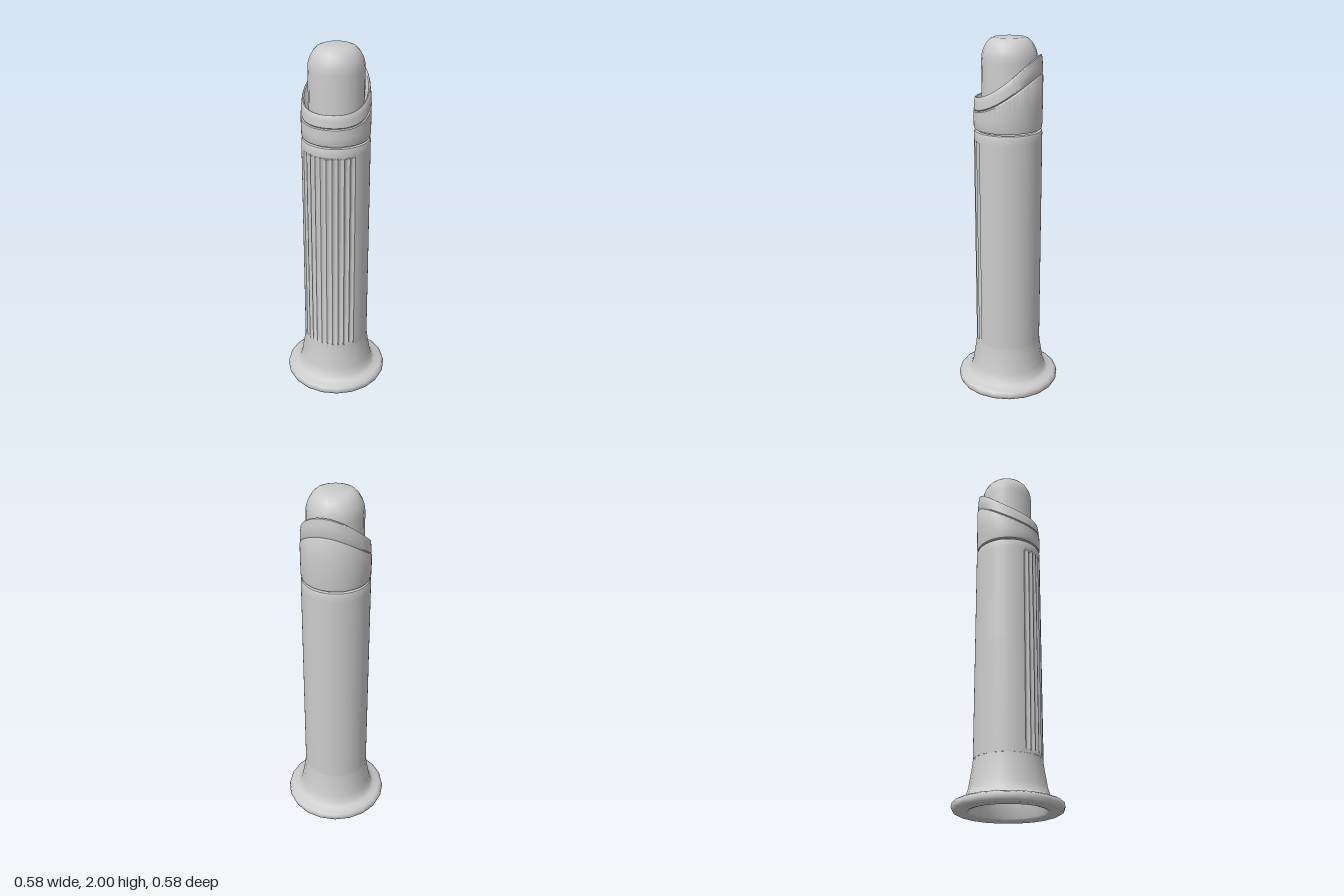
import * as THREE from 'three';
import { toCreasedNormals } from 'three/addons/utils/BufferGeometryUtils.js';

const material = new THREE.MeshStandardMaterial({ color: 0xcccccc, side: THREE.DoubleSide });

// Revolve a [radius, height] profile, optionally moving each vertex by a rule
function revolve(name, profile, segments, rule, crease = 0.6) {
  const geometry = new THREE.LatheGeometry(profile.map(([r, y]) => new THREE.Vector2(r, y)), segments);
  if (rule) {
    const p = geometry.attributes.position;
    const v = new THREE.Vector3();
    for (let i = 0; i < p.count; i++) {
      v.fromBufferAttribute(p, i);
      rule(v);
      p.setXYZ(i, v.x, v.y, v.z);
    }
  }
  const mesh = new THREE.Mesh(toCreasedNormals(geometry, crease), material);
  mesh.name = name;
  return mesh;
}

// Shallow vertical flutes across the front of the grip
function flute(v) {
  const angle = Math.atan2(v.x, v.z);
  if (v.y < 0.29 || v.y > 1.455 || Math.abs(angle) > Math.PI * 5 / 18) return;
  const scale = 1 - 0.045 * Math.abs(Math.sin(angle * 18));
  v.x *= scale;
  v.z *= scale;
}

// Slanted cut: the rim climbs from the front to the back
const climb = (z) => Math.pow(THREE.MathUtils.clamp((1 - z / 0.184) / 2, 0, 1), 1.8);
const lowerCut = (z) => 1.62 + 0.2 * climb(z);
const upperCut = (z) => 1.69 + 0.24 * climb(z);

export function createModel() {
  const group = new THREE.Group();
  group.name = 'handle';

  // Flared foot with a rounded flange and an open underside
  group.add(revolve('flaredBase', [
    [0.19, 0.1], [0.2, 0.012], [0.205, 0.004], [0.22, 0], [0.27, 0], [0.285, 0.008], [0.292, 0.025],
    [0.288, 0.045], [0.27, 0.055], [0.235, 0.06], [0.218, 0.08], [0.206, 0.12],
    [0.196, 0.18], [0.188, 0.23], [0.184, 0.27],
  ], 20, null, 0.9));

  // Fluted hollow grip
  group.add(revolve('grip', [
    [0.184, 0.27], [0.184, 0.28], [0.184, 0.3], [0.184, 0.9], [0.184, 1.45],
    [0.184, 1.465], [0.184, 1.5], [0.18, 1.512], [0.165, 1.515],
  ], 180, flute, 0.4));

  // Collar whose top follows the lower slanted cut (heights 0 to 1)
  group.add(revolve('collar', [
    [0.165, 0], [0.18, 0.01], [0.184, 0.1], [0.185, 0.5], [0.185, 0.95], [0.18, 1],
  ], 60, (v) => {
    v.y = THREE.MathUtils.lerp(1.522, lowerCut(v.z), v.y);
  }));

  // Lip between the two slanted cuts, folding inward to the plug
  group.add(revolve('slantedLip', [
    [0.178, 0], [0.183, 0.08], [0.181, 0.55], [0.177, 0.92], [0.173, 1],
    [0.167, 0.97], [0.16, 0.65], [0.14, 0.3],
  ], 60, (v) => {
    v.y = THREE.MathUtils.lerp(lowerCut(v.z), upperCut(v.z), v.y);
  }));

  // Rounded plug rising out of the lip
  const plug = revolve('plug', [
    [0, 1.56], [0.148, 1.56], [0.148, 1.88], [0.146, 1.91], [0.138, 1.94],
    [0.12, 1.972], [0.1, 1.992], [0.08, 2], [0, 2],
  ], 20, null, 0.7);
  plug.position.z = -0.008;
  group.add(plug);

  return group;
}
